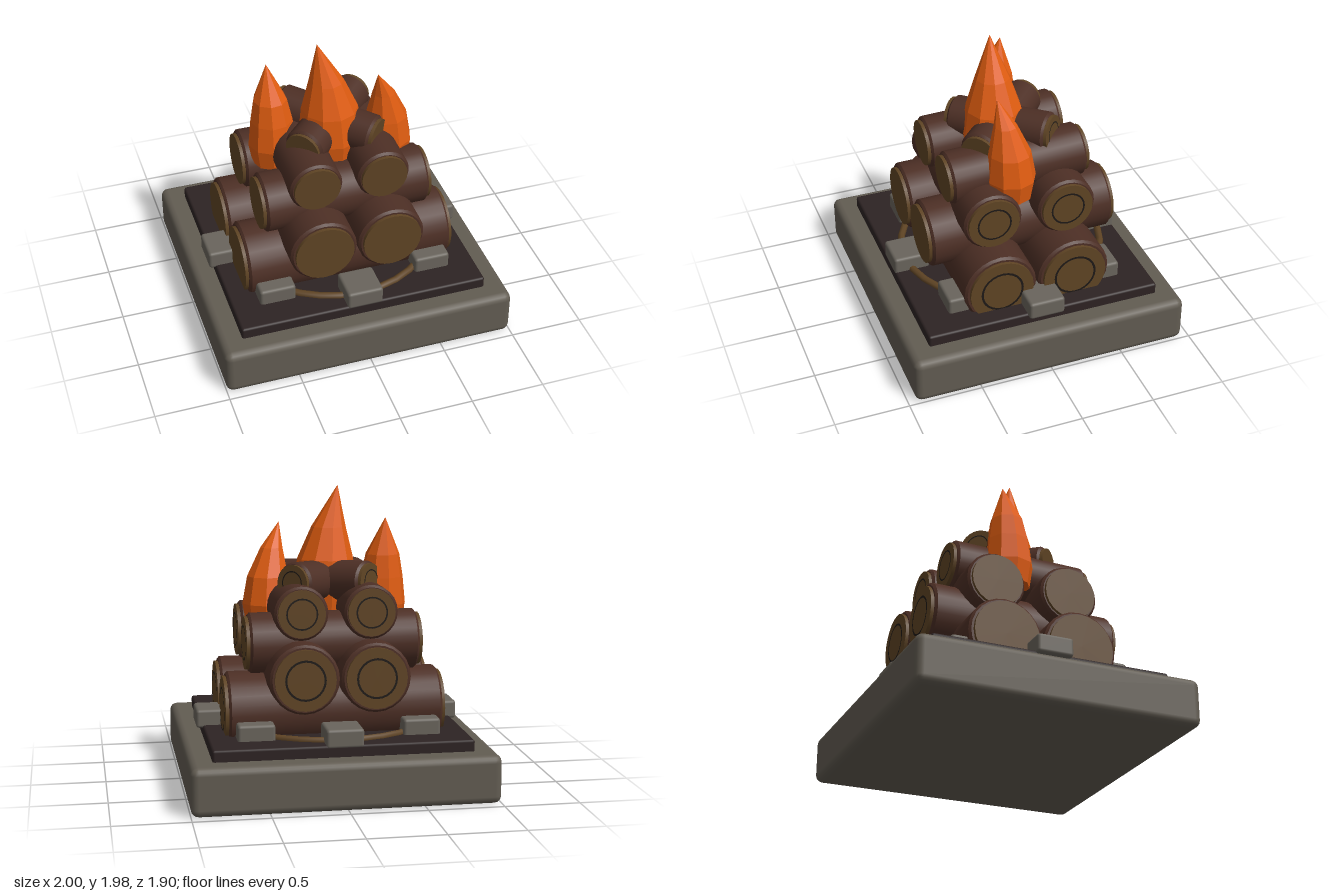
import * as THREE from 'three';
import { toCreasedNormals } from 'three/addons/utils/BufferGeometryUtils.js';
import { RoundedBoxGeometry } from 'three/addons/geometries/RoundedBoxGeometry.js';

const mat = (name, color, extra = {}) => {
  const m = new THREE.MeshStandardMaterial({ color, ...extra });
  m.name = name;
  return m;
};

export function createModel() {
  const stone = mat('stone', 0x625c52);
  const paleStone = mat('pale stone', 0x69645c);
  const ash = mat('ash', 0x2d2323);
  const bark = mat('bark', 0x4d2f25);
  const cutWood = mat('cut wood', 0x5f4424);
  const char = mat('char', 0x1e1916);
  const fire = mat('fire', 0xdf5c10, { flatShading: true });

  const model = new THREE.Group();
  model.name = 'campfire';
  const add = (parent, name, geometry, material, x = 0, y = 0, z = 0) => {
    const mesh = new THREE.Mesh(geometry, material);
    mesh.name = name;
    mesh.position.set(x, y, z);
    parent.add(mesh);
    return mesh;
  };

  // Hearth: stone slab, ash bed, ring of eight stones
  add(model, 'baseSlab', new RoundedBoxGeometry(2, 0.32, 1.9, 2, 0.05), stone, 0, 0.16, 0);
  add(model, 'ashBed', new RoundedBoxGeometry(1.7, 0.09, 1.61, 1, 0.015), ash, 0, 0.35, 0);
  for (let i = 0; i < 8; i++) {
    const a = (i * Math.PI) / 4;
    add(model, 'ringStone', new RoundedBoxGeometry(0.245, 0.125, 0.245, 2, 0.02), paleStone,
      0.77 * Math.cos(a), 0.437, 0.685 * Math.sin(a));
  }
  add(model, 'hearthRing', new THREE.TorusGeometry(0.695, 0.025, 8, 32).rotateX(Math.PI / 2),
    cutWood, 0, 0.4, 0);

  // Log: bevelled bark body, cut discs at both ends, charred ring on the far end
  const UP = new THREE.Vector3(0, 1, 0);
  function addLog(name, r, half, pos, dir) {
    const log = new THREE.Group();
    log.name = name;
    const b = 0.015;
    const profile = [[0, -half], [r - b, -half], [r, b - half], [r, half - b], [r - b, half], [0, half]]
      .map(([x, y]) => new THREE.Vector2(x, y));
    add(log, 'bark', toCreasedNormals(new THREE.LatheGeometry(profile, 24), 0.5), bark);
    add(log, 'cutEnds', new THREE.CylinderGeometry(r * 0.88, r * 0.88, 2 * half + 0.045, 24), cutWood);
    add(log, 'charRing', new THREE.RingGeometry(r * 0.53, r * 0.59, 24).rotateX(-Math.PI / 2),
      char, 0, half + 0.026, 0);
    log.position.set(...pos);
    log.quaternion.setFromUnitVectors(UP, new THREE.Vector3(...dir).normalize());
    model.add(log);
  }

  // Stack: pairs alternate between left-right and front-back
  for (const s of [-1, 1]) {
    addLog('bottomLog', 0.25, 0.707, [0, 0.535, s * 0.257], [1, 0, 0]);
    addLog('secondLog', 0.228, 0.635, [s * 0.233, 0.778, 0], [0, 0.02, -1]);
    addLog('thirdLog', 0.2, 0.56, [0, 0.975, s * 0.257], [1, 0, 0]);
    addLog('fourthLog', 0.178, 0.465, [s * 0.23, 1.178, 0], [0, 0.03, -1]);
    addLog('topCrossLog', 0.137, 0.35, [0, 1.345, -0.01], [s, 0.08, -1]);
  }

  // Flame: faceted lathe whose upper part leans toward the tip
  function addFlame(name, [x, y, z], height, radius, lean, profile, sides, turn) {
    const pts = [[0, 0], ...profile, [0, 1]]
      .map(([r, t]) => new THREE.Vector2(r * radius, t * height));
    const geo = new THREE.LatheGeometry(pts, sides, turn);
    const p = geo.attributes.position;
    for (let i = 0; i < p.count; i++) {
      const k = (p.getY(i) / height) ** 3;
      p.setX(i, p.getX(i) + lean[0] * k);
      p.setZ(i, p.getZ(i) + lean[1] * k);
    }
    add(model, name, geo, fire, x, y, z);
  }
  const wide = [[0.85, 0], [1, 0.25], [0.88, 0.47], [0.54, 0.7]];
  const slim = [[0.85, 0], [1, 0.2], [0.85, 0.47], [0.46, 0.75]];
  addFlame('centreFlame', [0, 1.05, 0.045], 0.93, 0.215, [-0.093, -0.005], wide, 10, 0.1);
  addFlame('rightFlame', [-0.37, 1.05, -0.09], 0.725, 0.163, [-0.015, -0.05],
    [[0.85, 0], [1, 0.2], [0.88, 0.45], [0.7, 0.66]], 9, 0.5);
  addFlame('leftFlame', [0.39, 1.05, 0.07], 0.68, 0.165, [-0.095, 0.063], slim, 9, 0.2);

  return model;
}
